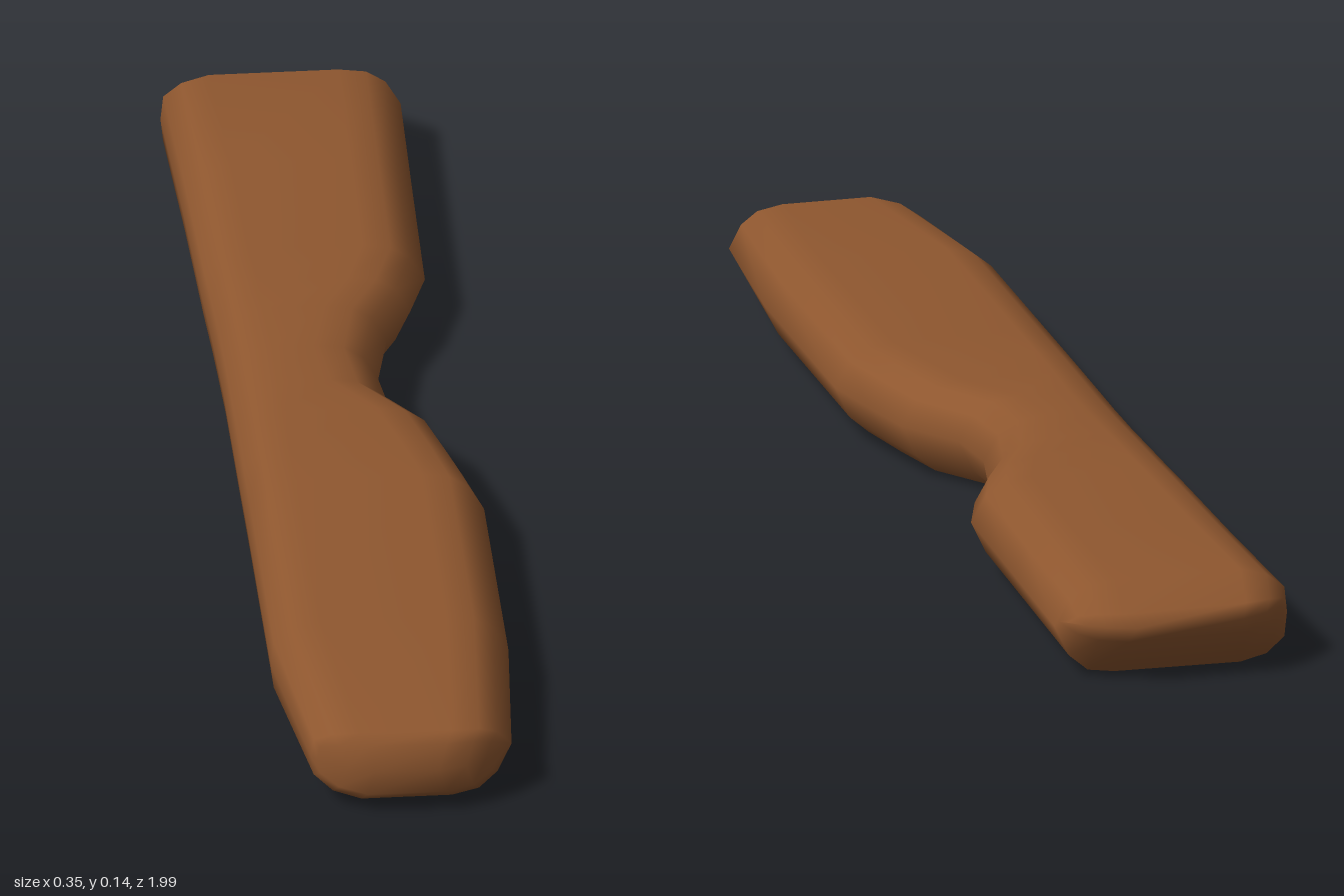
import * as THREE from 'three';
import { mergeVertices } from 'three/addons/utils/BufferGeometryUtils.js';

// Cross-section, counter-clockwise seen from the front:
// [measured from right (1) or left (0) edge, inset from that edge, height fraction]
const SECTION = [
  [1, 0, 0.55], [1, 0.022, 0.82], [1, 0.05, 0.95], [1, 0.09, 0.99],
  [0, 0.07, 1], [0, 0.03, 0.92], [0, 0.004, 0.77], [0, 0, 0.5],
  [0, 0.004, 0.24], [0, 0.03, 0.07], [0, 0.07, 0],
  [1, 0.09, 0.01], [1, 0.05, 0.05], [1, 0.022, 0.22],
];

// Stations from back to front: [z, left x, right x, bottom, top, bow of the end]
const STATIONS = [
  [-1.0, -0.165, 0.155, 0.09, 0.09, -0.06],
  [-0.98, -0.174, 0.164, 0.064, 0.107, -0.055],
  [-0.92, -0.178, 0.17, 0.003, 0.143, 0],
  [-0.66, -0.172, 0.162, 0.002, 0.143, 0],
  [-0.41, -0.169, 0.155, 0.002, 0.143, 0],
  [-0.32, -0.167, 0.125, 0.002, 0.143, 0],
  [-0.24, -0.166, 0.083, 0.002, 0.143, 0],
  [-0.13, -0.165, 0.06, 0.001, 0.142, 0],
  [-0.03, -0.166, 0.07, 0.001, 0.141, 0],
  [0.06, -0.167, 0.13, 0.001, 0.142, 0],
  [0.16, -0.168, 0.154, 0.001, 0.143, 0],
  [0.26, -0.169, 0.175, 0.002, 0.143, 0],
  [0.67, -0.174, 0.17, 0.003, 0.142, 0],
  [0.98, -0.143, 0.148, 0.02, 0.129, 0.04],
  [0.995, -0.135, 0.138, 0.035, 0.115, 0.045],
  [1.0, -0.125, 0.128, 0.075, 0.075, 0.04],
];

// Loft the section through every station
function loftBoard() {
  const positions = [];
  const indices = [];
  const n = SECTION.length;
  STATIONS.forEach(([z, left, right, bottom, top, bow], i) => {
    SECTION.forEach(([side, inset, f], j) => {
      const x = side ? right - inset : left + inset;
      const u = (2 * (x - left)) / (right - left) - 1;
      positions.push(x, bottom + (top - bottom) * f, z - bow * Math.abs(u) ** 3);
      if (i === 0) return;
      const k = (j + 1) % n;
      const a = (i - 1) * n + j, b = (i - 1) * n + k;
      const c = i * n + k, d = i * n + j;
      indices.push(a, b, c, a, c, d);
    });
  });
  const geometry = new THREE.BufferGeometry();
  geometry.setAttribute('position', new THREE.Float32BufferAttribute(positions, 3));
  geometry.setIndex(indices);
  // Weld the end ridges so the shading stays smooth
  const welded = mergeVertices(geometry, 1e-5);
  welded.computeVertexNormals();
  return welded;
}

export function createModel() {
  const group = new THREE.Group();
  group.name = 'woodenPlank';

  const wood = new THREE.MeshStandardMaterial({ color: 0x8f572f });
  wood.name = 'brown wood';

  // Worn plank with a notch in one long edge
  const plank = new THREE.Mesh(loftBoard(), wood);
  plank.name = 'plank';
  group.add(plank);
  return group;
}
